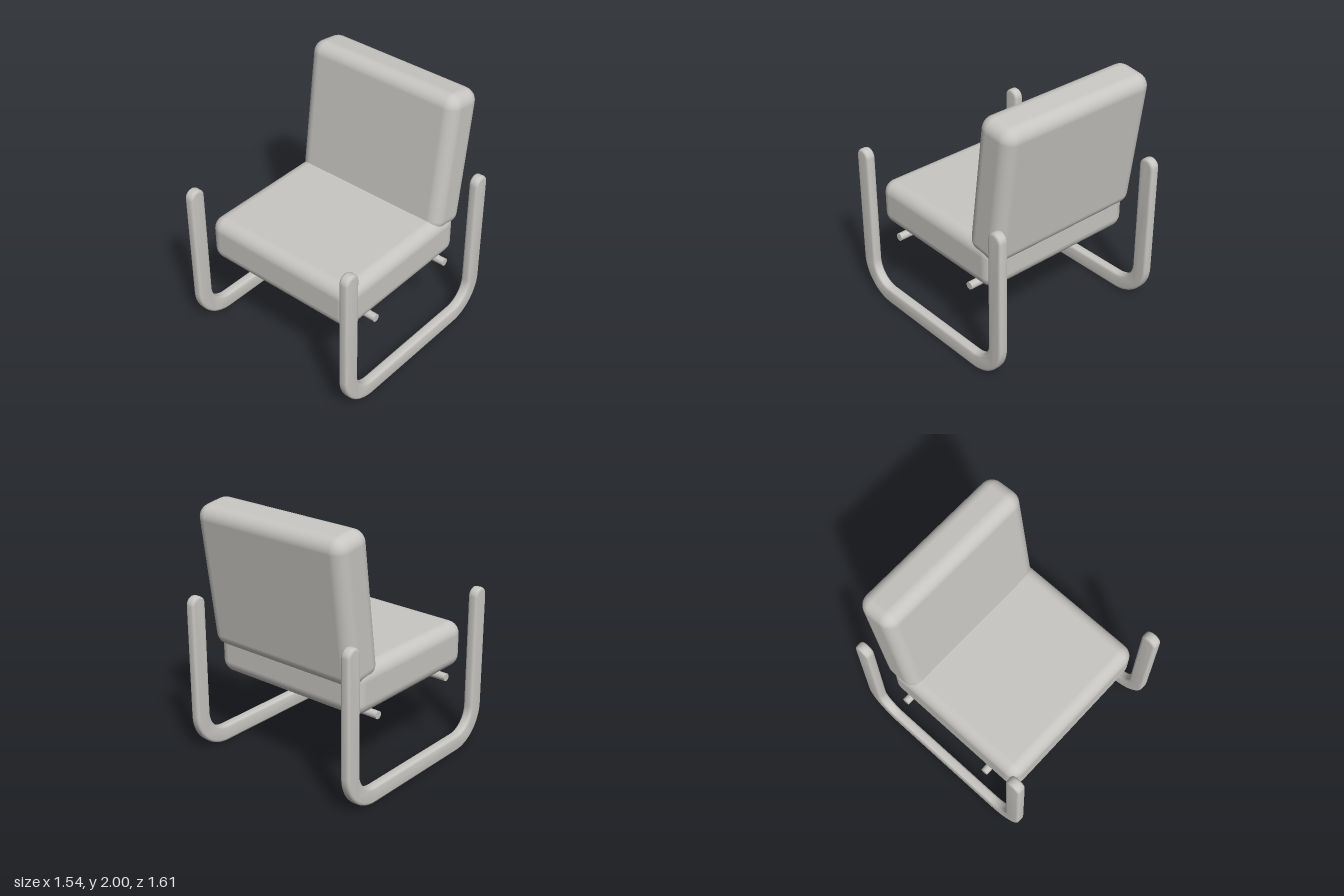
import * as THREE from 'three';
import { RoundedBoxGeometry } from 'three/addons/geometries/RoundedBoxGeometry.js';
import { toCreasedNormals } from 'three/addons/utils/BufferGeometryUtils.js';

export function createModel() {
  const chair = new THREE.Group();
  chair.name = 'loungeChair';
  const grey = new THREE.MeshStandardMaterial({ name: 'warm grey', color: 0xc8c6c2 });

  const add = (name, geometry, x, y, z) => {
    const mesh = new THREE.Mesh(geometry, grey);
    mesh.name = name;
    mesh.position.set(x, y, z);
    chair.add(mesh);
    return mesh;
  };

  // Cushions: the back one leans backwards and sinks into the seat
  add('seatCushion', new RoundedBoxGeometry(1.34, 0.365, 1.265, 4, 0.1), 0, 0.818, 0.045);
  const back = add('backCushion', new RoundedBoxGeometry(1.34, 1.115, 0.323, 4, 0.1), 0, 1.437, -0.553);
  back.rotation.x = -THREE.MathUtils.degToRad(7.6);

  // U-shaped side frames with rounded tips
  const out = 0.805, wide = 0.13, inn = out - wide, bend = 0.305;
  const c = out - bend, tip = 1.265 - wide / 2, mid = out - wide / 2;
  const shape = new THREE.Shape();
  shape.moveTo(-out, tip);
  shape.lineTo(-out, bend);
  shape.absarc(-c, bend, bend, Math.PI, Math.PI * 1.5, false);
  shape.lineTo(c, 0);
  shape.absarc(c, bend, bend, Math.PI * 1.5, Math.PI * 2, false);
  shape.lineTo(out, tip);
  shape.absarc(mid, tip, wide / 2, 0, Math.PI, false);
  shape.lineTo(inn, bend);
  shape.absarc(c, bend, bend - wide, Math.PI * 2, Math.PI * 1.5, true);
  shape.lineTo(-c, wide);
  shape.absarc(-c, bend, bend - wide, Math.PI * 1.5, Math.PI, true);
  shape.lineTo(-inn, tip);
  shape.absarc(-mid, tip, wide / 2, 0, Math.PI, false);

  const thick = 0.076, bevel = 0.02;
  const extruded = new THREE.ExtrudeGeometry(shape, {
    depth: thick - 2 * bevel, bevelThickness: bevel, bevelSize: bevel,
    bevelOffset: -bevel, bevelSegments: 3, curveSegments: 8,
  });
  extruded.translate(0, 0, bevel - thick / 2).rotateY(-Math.PI / 2);
  const frame = toCreasedNormals(extruded, 0.7);
  add('leftFrame', frame, 0.732, 0, 0);
  add('rightFrame', frame, -0.732, 0, 0);

  // Cross rods carrying the seat between the frames
  const rod = new THREE.CylinderGeometry(0.03, 0.03, 1.42, 16).rotateZ(Math.PI / 2);
  add('frontRod', rod, 0, 0.635, 0.408);
  add('rearRod', rod, 0, 0.635, -0.408);

  return chair;
}
